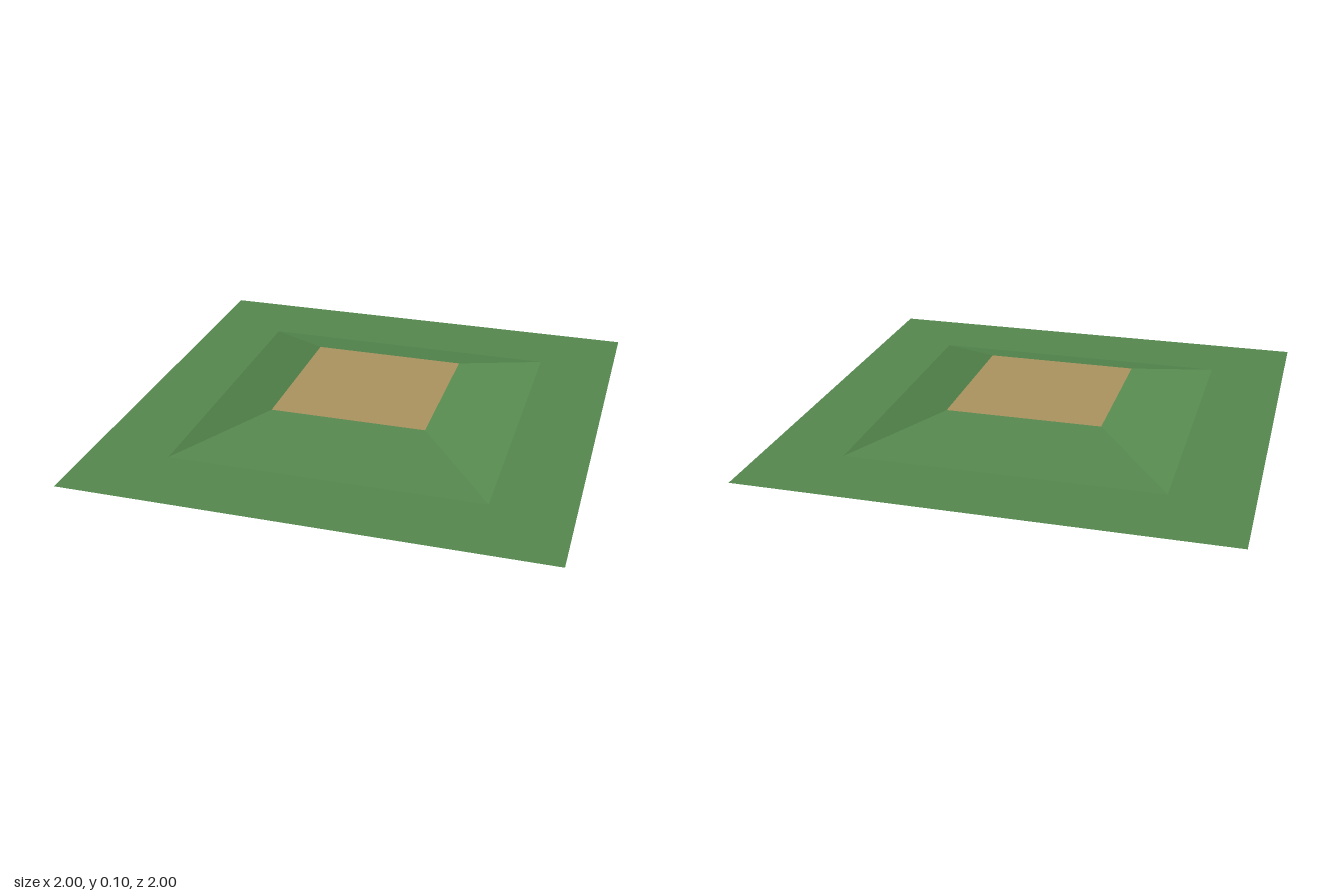
import * as THREE from 'three';

const OUTER = 1;      // half width of the ground tile
const FOOT = 0.665;   // half width of the mound at ground level
const TOP = 0.333;    // half width of the plateau
const HEIGHT = 0.1;

function squarePath(path, half) {
  path.moveTo(-half, -half);
  path.lineTo(half, -half);
  path.lineTo(half, half);
  path.lineTo(-half, half);
  path.closePath();
  return path;
}

export function createModel() {
  const grass = new THREE.MeshStandardMaterial({
    name: 'grass green', color: 0x55884e, flatShading: true, side: THREE.DoubleSide,
  });
  const dirt = new THREE.MeshStandardMaterial({
    name: 'dirt tan', color: 0xab9460, flatShading: true, side: THREE.DoubleSide,
  });

  const model = new THREE.Group();
  model.name = 'moundTile';
  const add = (name, geometry, material) => {
    const mesh = new THREE.Mesh(geometry, material);
    mesh.name = name;
    model.add(mesh);
  };

  // Flat grass border around the mound
  const border = squarePath(new THREE.Shape(), OUTER);
  border.holes.push(squarePath(new THREE.Path(), FOOT));
  add('grassBorder', new THREE.ShapeGeometry(border).rotateX(-Math.PI / 2), grass);

  // Four sloping sides, open at top and bottom
  const slopes = new THREE.CylinderGeometry(
    TOP * Math.SQRT2, FOOT * Math.SQRT2, HEIGHT, 4, 1, true,
  );
  slopes.rotateY(Math.PI / 4).translate(0, HEIGHT / 2, 0);
  add('moundSlopes', slopes, grass);

  // Bare plateau on top
  const plateau = new THREE.PlaneGeometry(TOP * 2, TOP * 2);
  plateau.rotateX(-Math.PI / 2).translate(0, HEIGHT, 0);
  add('dirtPlateau', plateau, dirt);

  return model;
}
